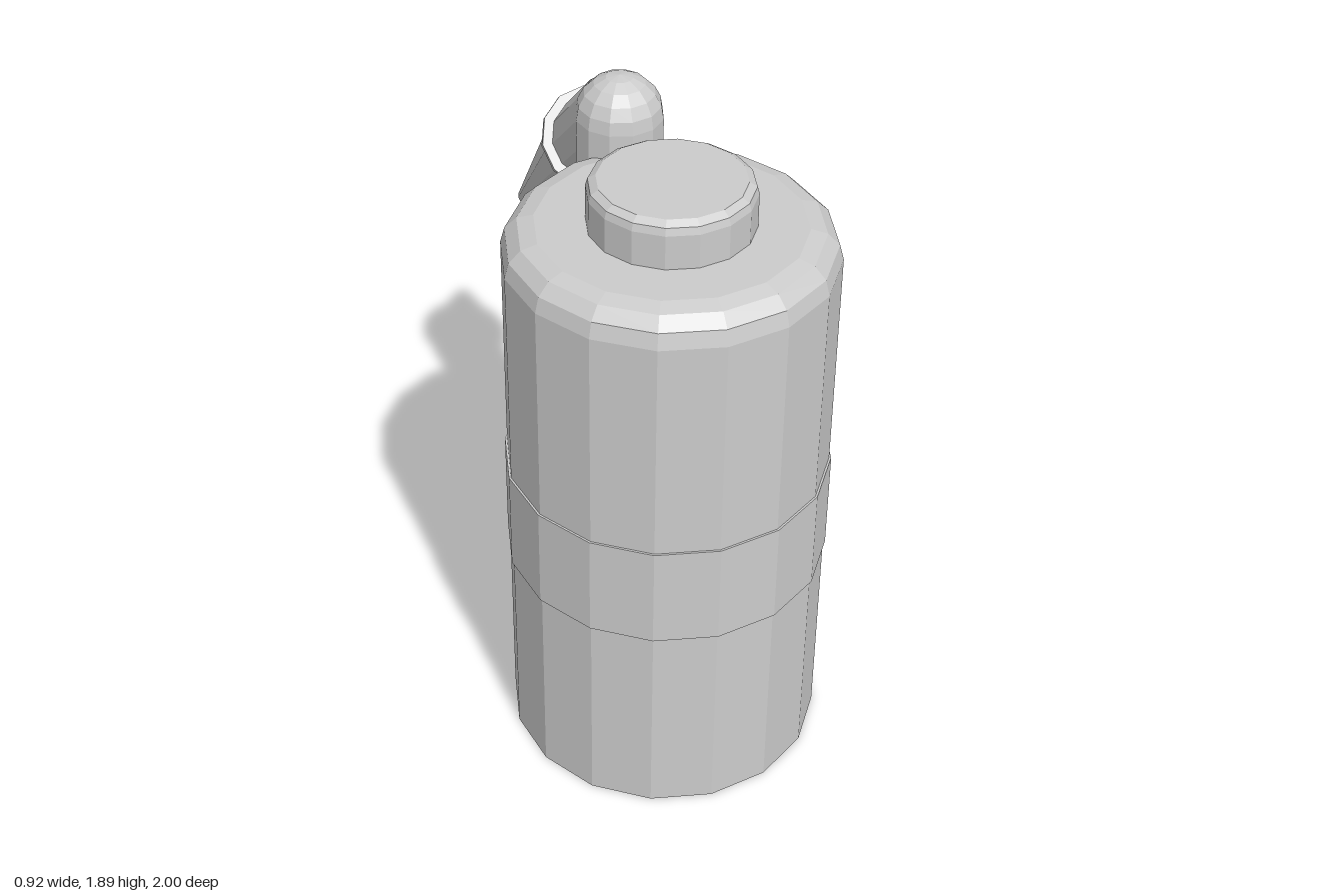
import * as THREE from 'three';

const material = new THREE.MeshStandardMaterial({ color: 0xcccccc, flatShading: true, side: THREE.DoubleSide });

function part(name, geometry, parent) {
  const mesh = new THREE.Mesh(geometry, material);
  mesh.name = name;
  parent.add(mesh);
  return mesh;
}

// Turned shape from [radius, height] pairs, listed bottom to top
function lathe(points, sides, start = 0, sweep = Math.PI * 2) {
  return new THREE.LatheGeometry(points.map(([r, y]) => new THREE.Vector2(r, y)), sides, start, sweep);
}

export function createModel() {
  const model = new THREE.Group();
  model.name = 'fireExtinguisher';

  // Tank with rounded shoulder, cap and wrap-around label
  const tank = new THREE.Group();
  tank.name = 'tank';
  tank.position.z = 0.54;
  model.add(tank);

  part('body', lathe([
    [0, 0], [0.455, 0], [0.455, 1.605], [0.443, 1.65], [0.41, 1.683], [0.365, 1.695], [0, 1.695],
  ], 16), tank);
  part('cap', lathe([
    [0.227, 1.68], [0.227, 1.795], [0.221, 1.816], [0.2, 1.829], [0, 1.829],
  ], 16), tank);
  // The label leaves the back quarter of the tank bare
  part('labelBand', lathe([
    [0.45, 0.63], [0.461, 0.63], [0.461, 0.94], [0.45, 0.94],
  ], 12, -Math.PI * 0.75, Math.PI * 1.5), tank);

  // Upright hose at the back with a ball elbow
  const hose = new THREE.Group();
  hose.name = 'hose';
  hose.position.z = 0.08;
  model.add(hose);

  const elbowY = 1.765;
  part('hosePipe', lathe([[0, 0.33], [0.125, 0.33], [0.125, elbowY]], 12), hose);
  part('elbow', new THREE.SphereGeometry(0.125, 12, 10), hose).position.y = elbowY;

  // Nozzle, built along +y and tilted down towards the back
  const nozzle = new THREE.Group();
  nozzle.name = 'nozzle';
  nozzle.position.y = elbowY;
  nozzle.quaternion.setFromUnitVectors(
    new THREE.Vector3(0, 1, 0), new THREE.Vector3(0, -0.646, -0.763).normalize());
  hose.add(nozzle);

  part('nozzlePipe', lathe([[0.125, 0], [0.125, 0.34]], 12), nozzle);
  part('nozzleRing', lathe([
    [0.12, 0.33], [0.154, 0.33], [0.154, 0.348], [0.12, 0.348],
  ], 12), nozzle);
  part('nozzleCollar', lathe([[0.137, 0.345], [0.137, 0.4], [0.12, 0.4]], 12), nozzle);
  part('horn', lathe([[0.13, 0.39], [0.027, 1.39], [0, 1.39]], 12), nozzle);

  return model;
}
